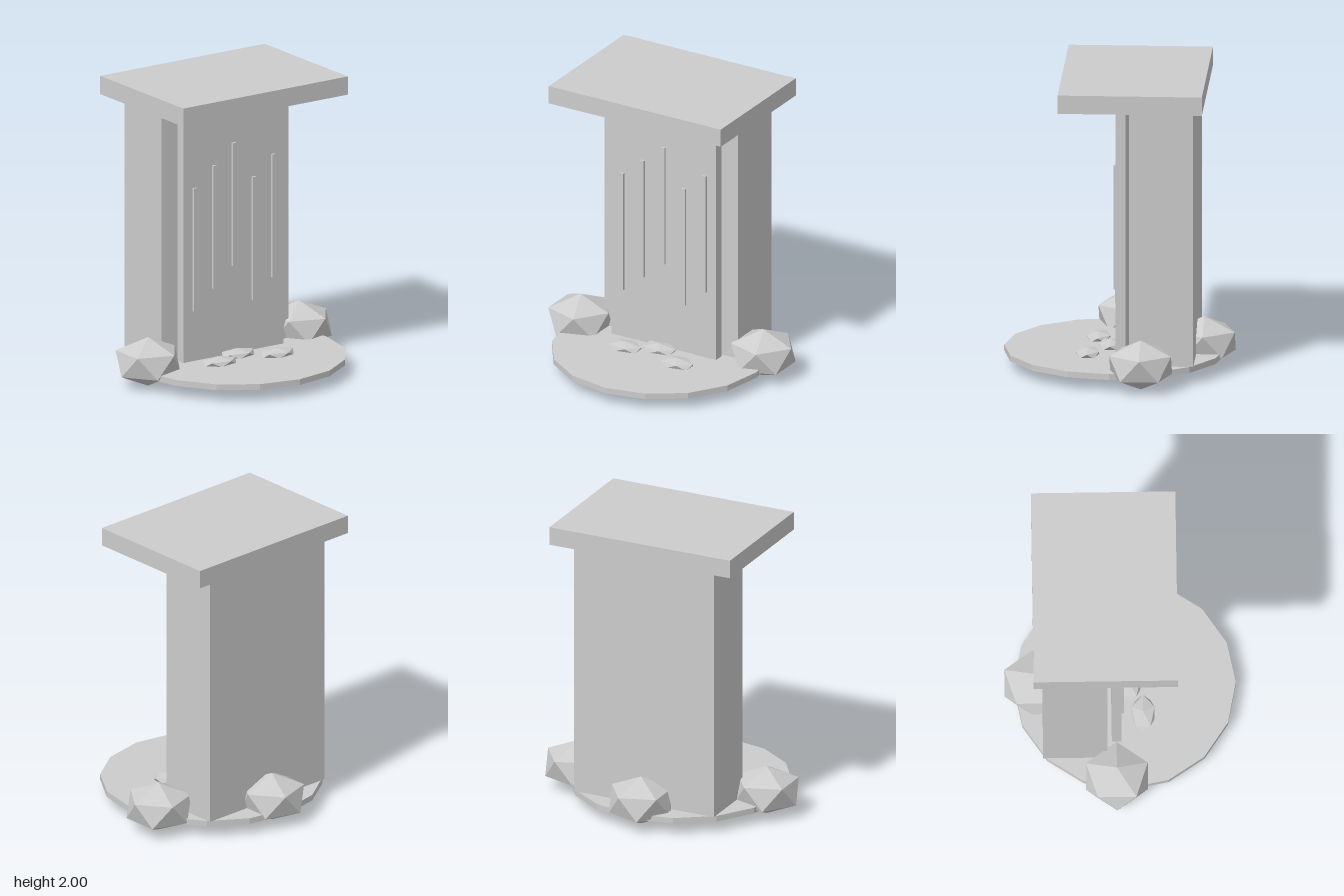
import * as THREE from 'three';
import { ConvexGeometry } from 'three/addons/geometries/ConvexGeometry.js';

// Icosahedron standing on a pole: two staggered rings of five between two tips
function rockGeometry() {
  const pts = [new THREE.Vector3(0, 1, 0), new THREE.Vector3(0, -1, 0)];
  const y = 1 / Math.sqrt(5);
  for (let i = 0; i < 5; i++) {
    const a = (i * 2 * Math.PI) / 5;
    const b = a + Math.PI / 5;
    pts.push(new THREE.Vector3(Math.cos(a), y, Math.sin(a)));
    pts.push(new THREE.Vector3(Math.cos(b), -y, Math.sin(b)));
  }
  return new ConvexGeometry(pts);
}

export function createModel() {
  const group = new THREE.Group();
  const stone = new THREE.MeshStandardMaterial({ color: 0xcccccc });
  stone.name = 'stone grey';
  stone.flatShading = true;

  const add = (name, geometry, x, y, z) => {
    const mesh = new THREE.Mesh(geometry, stone);
    mesh.name = name;
    mesh.position.set(x, y, z);
    group.add(mesh);
    return mesh;
  };
  // Box given by its lower and upper limits
  const box = (name, x0, x1, y0, y1, z0, z1) =>
    add(name, new THREE.BoxGeometry(x1 - x0, y1 - y0, z1 - z0),
      (x0 + x1) / 2, (y0 + y1) / 2, (z0 + z1) / 2);

  // Round base, pillar, separate front panel and roof slab
  add('base', new THREE.CylinderGeometry(0.735, 0.735, 0.04, 16), 0, 0.1, 0.03);
  box('pillar', -0.515, 0.515, 0.12, 1.875, -0.515, -0.09);
  box('frontPanel', -0.405, 0.405, 0.12, 1.875, -0.06, 0.005);
  box('roofSlab', -0.665, 0.665, 1.875, 2, -0.58, 0.375);

  // Raised vertical strips on the panel, at staggered heights
  [0.465, 0.595, 0.725, 0.465, 0.595].forEach((y, i) => {
    const x = (i - 2) * 0.159;
    box('strip', x - 0.014, x + 0.014, y, y + 0.845, 0.003, 0.022);
  });

  // Large rocks around the rim
  const rock = rockGeometry();
  for (const [x, z] of [[-0.665, -0.03], [0.66, -0.175], [0, -0.56]]) {
    add('rock', rock, x, 0.167, z).scale.set(0.215, 0.167, 0.215);
  }

  // Flat pebbles before the panel
  for (const [x, z] of [[-0.21, 0.15], [0, 0.06], [0.22, 0.2]]) {
    add('pebble', rock, x, 0.131, z).scale.set(0.122, 0.035, 0.08);
  }

  return group;
}
